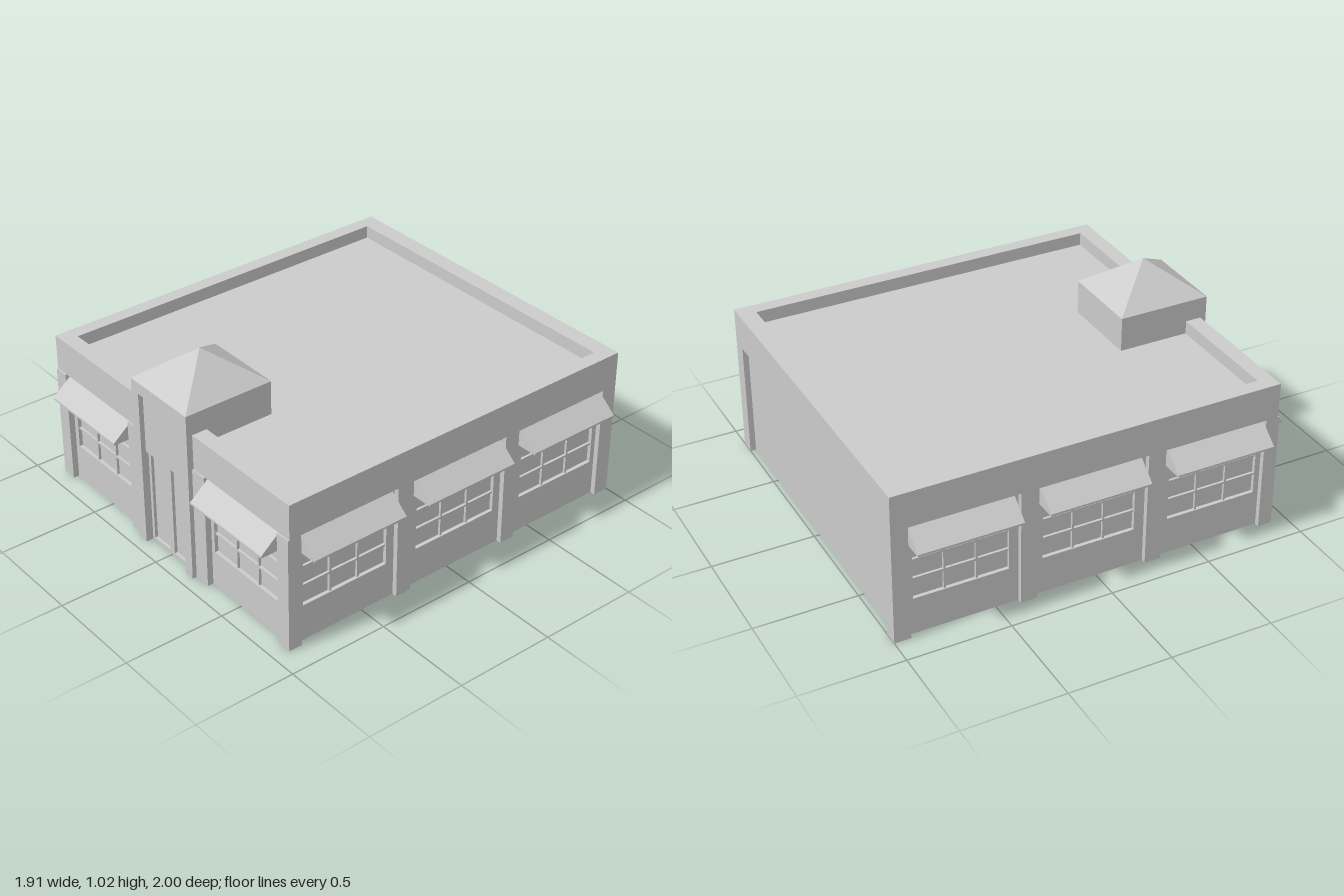
import * as THREE from 'three';

const material = new THREE.MeshStandardMaterial({ color: 0xcccccc, flatShading: true });

function add(parent, name, geometry) {
  const mesh = new THREE.Mesh(geometry, material);
  mesh.name = name;
  parent.add(mesh);
  return mesh;
}

// Box given by its lower and upper corners
function box(parent, name, [x0, y0, z0], [x1, y1, z1]) {
  const g = new THREE.BoxGeometry(x1 - x0, y1 - y0, z1 - z0);
  g.translate((x0 + x1) / 2, (y0 + y1) / 2, (z0 + z1) / 2);
  return add(parent, name, g);
}

const rect = (x0, y0, x1, y1) => [[x0, y0], [x1, y0], [x1, y1], [x0, y1]].map(p => new THREE.Vector2(...p));

// Upright board with rectangular openings, its back on z
function board(parent, name, outline, holes, z, depth) {
  const shape = new THREE.Shape(rect(...outline));
  for (const h of holes) shape.holes.push(new THREE.Path(rect(...h)));
  const g = new THREE.ExtrudeGeometry(shape, { depth, bevelEnabled: false });
  g.translate(0, 0, z);
  return add(parent, name, g);
}

const WINDOW = { half: 0.23, low: 0.185, high: 0.48 };
const RECESS = 0.018;

// Mullions dividing one opening into three by three panes
function mullions(parent, cx) {
  const { half, low, high } = WINDOW, b = 0.005, out = -0.006;
  const group = new THREE.Group();
  group.name = 'windowBars';
  for (const i of [1, 2]) {
    const x = cx - half + (2 * half * i) / 3;
    const y = low + ((high - low) * i) / 3;
    box(group, 'uprightBar', [x - b, low, -RECESS], [x + b, high, out]);
    box(group, 'crossBar', [cx - half, y - b, -RECESS], [cx + half, y + b, out]);
  }
  parent.add(group);
}

// Closed wedge awning projecting from the wall
function awning(parent, cx) {
  const side = new THREE.Shape([[0, 0.48], [0.107, 0.48], [0.107, 0.49], [0, 0.58]].map(p => new THREE.Vector2(...p)));
  const g = new THREE.ExtrudeGeometry(side, { depth: 0.5, bevelEnabled: false });
  g.rotateY(-Math.PI / 2);
  // profile now lies along +z, extrusion along -x
  g.translate(cx + 0.25, 0, 0);
  add(parent, 'awning', g);
}

// Wall facing +z, outer face on local z = 0
function windowWall(parent, name, x0, x1, centres) {
  const wall = new THREE.Group();
  wall.name = name;
  const { half, low, high } = WINDOW;
  board(wall, 'wallPanel', [x0, 0, x1, 0.6], centres.map(c => [c - half, low, c + half, high]), -RECESS, RECESS);
  for (const c of centres) {
    mullions(wall, c);
    awning(wall, c);
  }
  parent.add(wall);
  return wall;
}

export function createModel() {
  const model = new THREE.Group();
  model.name = 'shopBuilding';

  // Core with the flat roof
  box(model, 'core', [-0.832, 0, -0.972], [0.832, 0.69, 0.872]);

  // Parapet ring around the roof
  const ring = new THREE.Shape(rect(-0.875, -0.912, 0.875, 1));
  ring.holes.push(new THREE.Path(rect(-0.805, -0.835, 0.805, 0.915)));
  const parapet = new THREE.ExtrudeGeometry(ring, { depth: 0.175, bevelEnabled: false });
  parapet.rotateX(-Math.PI / 2);
  parapet.translate(0, 0.58, 0);
  add(model, 'parapet', parapet);

  // Side and front walls with windows and awnings
  const sideCentres = [0.593, -0.04, -0.665];
  for (const s of [1, -1]) {
    const x0 = s > 0 ? -0.88 : -0.96, x1 = s > 0 ? 0.96 : 0.88;
    const wall = windowWall(model, s > 0 ? 'leftWall' : 'rightWall', x0, x1, sideCentres.map(z => -s * z));
    wall.rotation.y = (s * Math.PI) / 2;
    wall.position.x = s * 0.85;
    const front = windowWall(model, 'frontWall', s > 0 ? 0.18 : -0.84, s > 0 ? 0.84 : -0.18, [s * 0.542]);
    front.position.z = 0.89;
  }

  // Pilasters at the corners, along the sides and beside the tower
  for (const s of [1, -1]) {
    const pilaster = (name, xa, xb, z0, z1) =>
      box(model, name, [Math.min(s * xa, s * xb), 0, z0], [Math.max(s * xa, s * xb), 0.58, z1]);
    pilaster('frontCornerPilaster', 0.8, 0.875, 0.85, 0.92);
    pilaster('backCornerPilaster', 0.8, 0.875, -1, -0.92);
    pilaster('sidePilaster', 0.82, 0.875, 0.24, 0.32);
    pilaster('sidePilaster', 0.82, 0.875, -0.39, -0.31);
    pilaster('frontPilaster', 0.2, 0.29, 0.85, 0.92);
  }

  // Entrance tower
  const tower = new THREE.Group();
  tower.name = 'entranceTower';
  model.add(tower);
  box(tower, 'towerBody', [-0.205, 0, 0.485], [0.205, 0.86, 0.89]);
  for (const s of [1, -1]) {
    box(tower, 'towerPilaster', [s > 0 ? 0.155 : -0.205, 0, 0.88], [s > 0 ? 0.205 : -0.155, 0.86, 0.942]);
  }
  box(tower, 'towerLintel', [-0.155, 0.8, 0.88], [0.155, 0.86, 0.942]);
  box(tower, 'transomPanel', [-0.155, 0.487, 0.88], [0.155, 0.8, 0.918]);
  board(tower, 'doorFrames', [-0.155, 0, 0.155, 0.487],
    [[-0.138, 0.015, -0.016, 0.477], [0.016, 0.015, 0.138, 0.477]], 0.885, 0.02);

  // Pyramid roof
  const roof = new THREE.ConeGeometry(Math.SQRT1_2, 0.162, 4);
  roof.rotateY(Math.PI / 4);
  roof.scale(0.412, 1, 0.46);
  roof.translate(0, 0.941, 0.713);
  add(tower, 'towerRoof', roof);

  return model;
}
